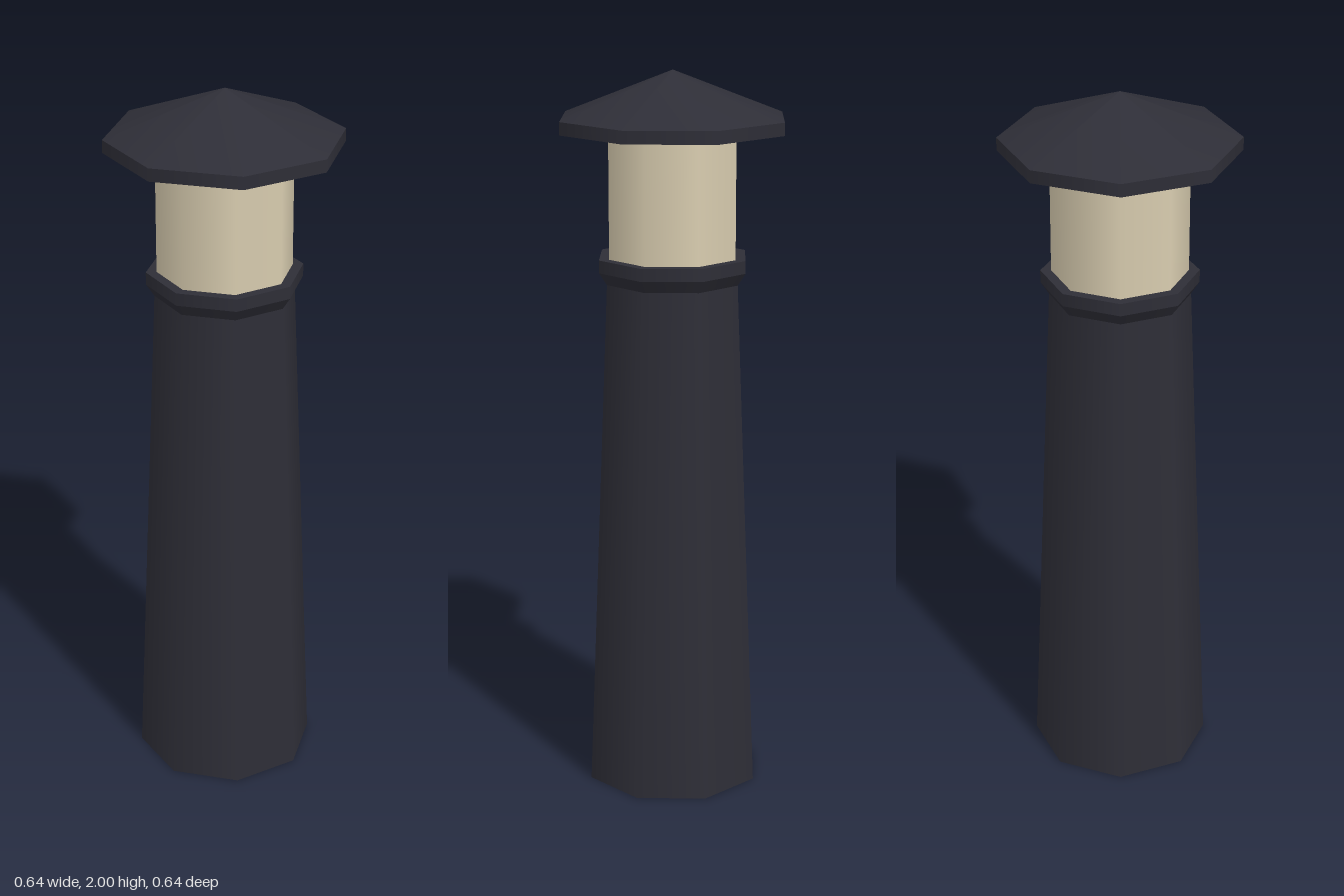
import * as THREE from 'three';

const SIDES = 8;

export function createModel() {
  const model = new THREE.Group();
  model.name = 'lanternPost';

  const iron = new THREE.MeshStandardMaterial({ color: 0x2e2e37 });
  iron.name = 'darkIron';
  const glow = new THREE.MeshStandardMaterial({ color: 0xd9cdb0 });
  glow.name = 'creamGlass';

  // Eight-sided section between two heights, smooth around its sides
  function section(name, rBottom, rTop, y0, y1, material, open = false) {
    const geometry = new THREE.CylinderGeometry(rTop, rBottom, y1 - y0, SIDES, 1, open);
    const mesh = new THREE.Mesh(geometry, material);
    mesh.name = name;
    mesh.position.y = (y0 + y1) / 2;
    model.add(mesh);
  }

  // Tapered post
  section('post', 0.25, 0.19, 0, 1.45, iron);

  // Flared collar with an upright rim
  section('collarFlare', 0.19, 0.213, 1.43, 1.465, iron, true);
  section('collarRim', 0.213, 0.213, 1.465, 1.5, iron);

  // Lantern
  section('lantern', 0.184, 0.184, 1.5, 1.84, glow);

  // Roof: upright eave and a shallow cone
  section('roofEave', 0.32, 0.32, 1.84, 1.875, iron);
  section('roofCone', 0.32, 0, 1.875, 2, iron, true);

  return model;
}
